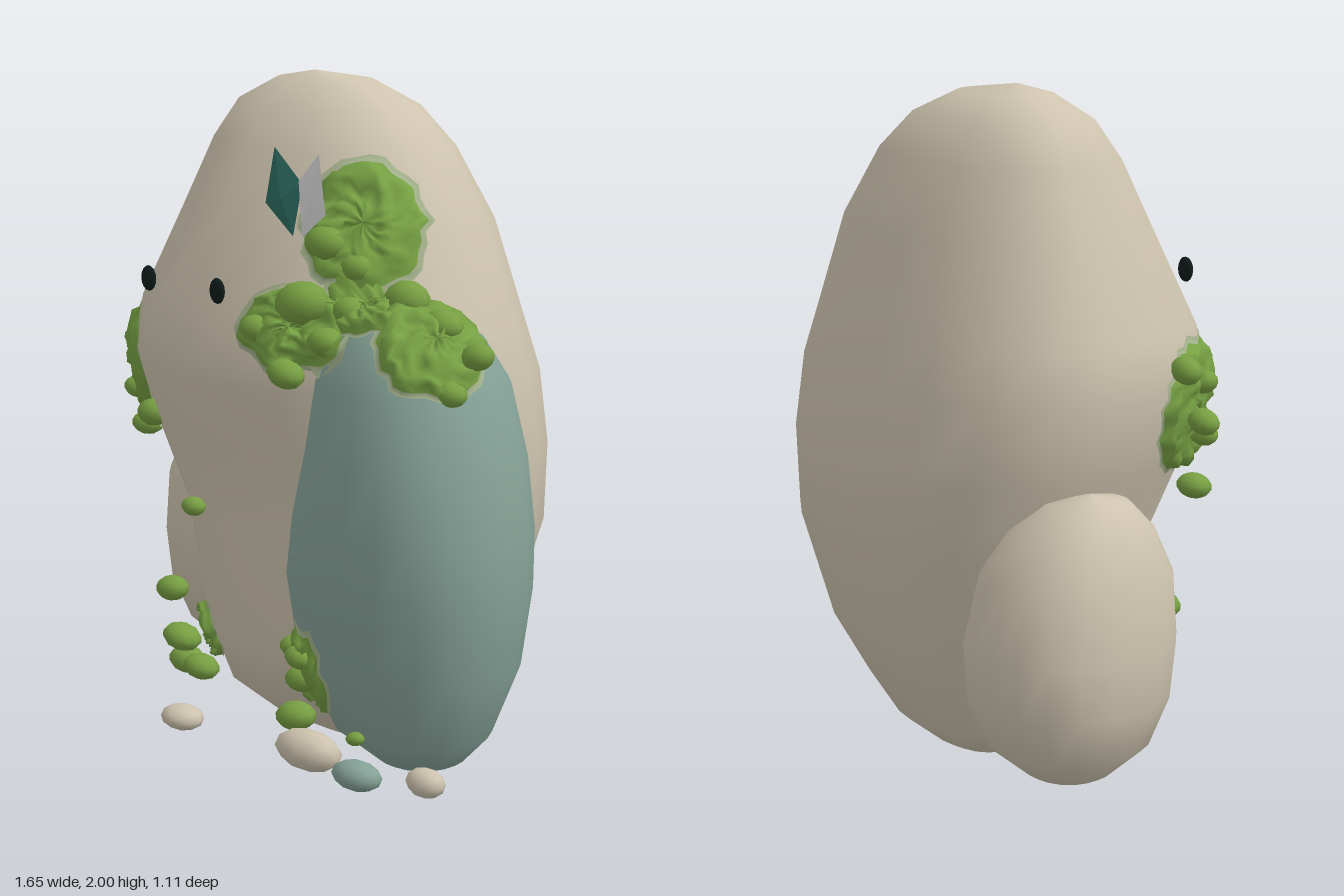
import * as THREE from 'three';

const mat = (name, color, side = THREE.FrontSide) => {
  const m = new THREE.MeshStandardMaterial({ color, side });
  m.name = name;
  return m;
};

// Small seeded random generator
let seed = 7;
const rand = () => {
  seed = (seed * 16807) % 2147483647;
  return seed / 2147483647;
};

// Boulder from horizontal sections: [y, xLeft, xRight, zBack, zFront]; higher powers are squarer
function boulder(sections, powerRight, powerLeft = powerRight, sides = 20) {
  const pos = [], idx = [];
  for (const [y, x0, x1, z0, z1] of sections) {
    for (let j = 0; j < sides; j++) {
      const a = (j / sides) * Math.PI * 2, c = Math.cos(a), s = Math.sin(a);
      const p = c < 0 ? powerLeft : powerRight;
      const k = Math.pow(Math.abs(c) ** p + Math.abs(s) ** p, -1 / p);
      pos.push((x0 + x1) / 2 + (x1 - x0) / 2 * c * k, y, (z0 + z1) / 2 + (z1 - z0) / 2 * s * k);
    }
  }
  for (let i = 0; i < sections.length - 1; i++) {
    for (let j = 0; j < sides; j++) {
      const a = i * sides + j, b = i * sides + (j + 1) % sides;
      idx.push(a, a + sides, b, b, a + sides, b + sides);
    }
  }
  const g = new THREE.BufferGeometry();
  g.setAttribute('position', new THREE.Float32BufferAttribute(pos, 3));
  g.setIndex(idx);
  g.computeVertexNormals();
  return g;
}

// Crumpled moss disc laid over the rocks by rays aimed at an inner point
function mossPatch(rocks, inner, target, a, b) {
  const o = new THREE.Vector3(...inner), t = new THREE.Vector3(...target);
  const n = t.clone().sub(o).normalize();
  const u = new THREE.Vector3(0, 1, 0).cross(n).normalize();
  const v = n.clone().cross(u);
  const rings = 9, sides = 32, pos = [], idx = [];
  const ray = new THREE.Raycaster();
  const wobble = Array.from({ length: sides }, () => 0.88 + rand() * 0.2);
  for (let i = 0; i <= rings; i++) {
    for (let j = 0; j < sides; j++) {
      const ang = (j / sides) * Math.PI * 2, r = (i / rings) * wobble[j];
      const d = t.clone().addScaledVector(u, a * r * Math.cos(ang))
        .addScaledVector(v, b * r * Math.sin(ang)).sub(o).normalize();
      ray.set(o.clone().addScaledVector(d, 3), d.clone().negate());
      const hit = ray.intersectObjects(rocks, false)[0];
      const lift = i === 0 ? 0.03 : i >= rings - 1 ? 0.006 : 0.012 + rand() * 0.035;
      const p = (hit ? hit.point : t.clone()).addScaledVector(d, lift);
      pos.push(p.x, p.y, p.z);
    }
  }
  for (let i = 0; i < rings; i++) {
    for (let j = 0; j < sides; j++) {
      const p = i * sides + j, q = i * sides + (j + 1) % sides;
      idx.push(p, p + sides, q + sides, p, q + sides, q);
    }
  }
  const g = new THREE.BufferGeometry();
  g.setAttribute('position', new THREE.Float32BufferAttribute(pos, 3));
  g.setIndex(idx);
  g.addGroup(0, (rings - 1) * sides * 6, 0);
  g.addGroup((rings - 1) * sides * 6, sides * 6, 1);
  g.computeVertexNormals();
  return g;
}

// Folded leaf: base, right edge, tip, left edge, raised middle
function leaf(points) {
  const g = new THREE.BufferGeometry();
  g.setAttribute('position', new THREE.Float32BufferAttribute(points.flat(), 3));
  g.setIndex([0, 1, 4, 1, 2, 4, 2, 3, 4, 3, 0, 4]);
  const flat = g.toNonIndexed();
  flat.computeVertexNormals();
  return flat;
}

export function createModel() {
  const model = new THREE.Group();
  const stone = mat('beige stone', 0xcdc3ae), teal = mat('teal stone', 0x85a297);
  const moss = mat('moss', 0x76a043, THREE.DoubleSide);
  const rim = mat('pale moss edge', 0xa3b18c, THREE.DoubleSide);
  const tuft = mat('moss tuft', 0x779f42), eyeMat = mat('eye black', 0x101c1a);
  const darkLeaf = mat('dark teal leaf', 0x2f7065, THREE.DoubleSide);
  const whiteLeaf = mat('white leaf', 0xe2e2e4, THREE.DoubleSide);
  const add = (name, geometry, material) => {
    const m = new THREE.Mesh(geometry, material);
    m.name = name;
    model.add(m);
    return m;
  };

  // Boulders
  const body = add('bodyBoulder', boulder([
    [0, 0.02, 0.02, -0.08, -0.08], [0.03, -0.13, 0.15, -0.19, 0],
    [0.1, -0.23, 0.29, -0.27, 0.13], [0.22, -0.31, 0.41, -0.33, 0.28],
    [0.4, -0.37, 0.51, -0.42, 0.35], [0.72, -0.49, 0.59, -0.51, 0.33],
    [0.95, -0.6, 0.6, -0.53, 0.36], [1.17, -0.65, 0.59, -0.51, 0.41],
    [1.33, -0.62, 0.535, -0.48, 0.39], [1.6, -0.52, 0.43, -0.42, 0.27],
    [1.8, -0.45, 0.3, -0.35, 0.17], [1.91, -0.39, 0.18, -0.29, 0.09],
    [1.975, -0.27, 0.04, -0.2, 0.01], [2, -0.14, -0.14, -0.07, -0.07],
  ], 2.35, 2.8), stone);
  const side = add('sideBoulder', boulder([
    [0.1, -0.56, -0.56, -0.26, -0.26], [0.13, -0.67, -0.44, -0.38, -0.15],
    [0.22, -0.77, -0.35, -0.49, -0.05], [0.36, -0.82, -0.3, -0.55, 0.01],
    [0.52, -0.83, -0.29, -0.56, 0.03], [0.7, -0.81, -0.32, -0.52, 0.02],
    [0.83, -0.76, -0.39, -0.44, -0.04], [0.91, -0.7, -0.49, -0.35, -0.12],
    [0.935, -0.61, -0.61, -0.24, -0.24],
  ], 2.35), stone);
  const arm = add('tealBoulder', boulder([
    [0.12, 0.52, 0.52, 0.18, 0.18], [0.135, 0.4, 0.63, 0.07, 0.31],
    [0.22, 0.26, 0.71, 0, 0.39], [0.42, 0.15, 0.79, -0.07, 0.46],
    [0.65, 0.12, 0.82, -0.1, 0.49], [0.82, 0.15, 0.815, -0.11, 0.5],
    [1.02, 0.2, 0.785, -0.1, 0.49], [1.22, 0.22, 0.73, -0.07, 0.45],
    [1.34, 0.28, 0.66, 0, 0.4], [1.41, 0.36, 0.57, 0.1, 0.32],
    [1.43, 0.46, 0.46, 0.21, 0.21],
  ], 2.2, 2.6), teal);
  const rocks = [body, side, arm];

  // Moss patches: name, inner point, target, half width, half height
  const patches = [
    ['headMoss', [0.08, 1.42, -0.12], [0.25, 1.6, 0.14], 0.18, 0.18],
    ['browMoss', [0.15, 1.32, 0], [0.18, 1.36, 0.38], 0.2, 0.14],
    ['bridgeMoss', [0.4, 1.15, 0.12], [0.39, 1.41, 0.28], 0.15, 0.1],
    ['tealTopMoss', [0.46, 1.12, 0.2], [0.62, 1.36, 0.28], 0.21, 0.2],
    ['shoulderMoss', [-0.4, 1.1, -0.05], [-0.6, 1.1, 0.15], 0.18, 0.22],
    ['lowerRightMoss', [-0.2, 0.35, 0.05], [-0.28, 0.35, 0.33], 0.11, 0.14],
    ['lowerLeftMoss', [0.18, 0.34, 0.1], [0.23, 0.34, 0.36], 0.09, 0.15],
  ];
  for (const [name, o, t, a, b] of patches) add(name, mossPatch(rocks, o, t, a, b), [moss, rim]);

  // Round moss tufts resting on the front surfaces: [x, y, radius, least z]
  const tufts = [
    [-0.71, 1.1, 0.05, 0.1], [-0.5, 0.98, 0.055, 0.25], [-0.65, 0.9, 0.055, 0.13],
    [-0.66, 1.24, 0.05, 0.08], [-0.61, 1.18, 0.05, 0.2], [-0.62, 1.03, 0.045, 0.2],
    [-0.235, 0.76, 0.04, 0.35], [-0.4, 0.46, 0.055, 0.28], [-0.31, 0.34, 0.065, 0.33],
    [-0.22, 0.27, 0.06, 0.34], [-0.3, 0.27, 0.06, 0.32], [0.18, 0.22, 0.065, 0.36],
    [0.23, 0.35, 0.06, 0.38], [0.28, 0.44, 0.05, 0.4], [0.2, 0.44, 0.045, 0.38],
    [0.45, 0.23, 0.03, 0.4], [0.19, 1.42, 0.085, 0.34], [0.18, 1.23, 0.06, 0.38],
    [0.06, 1.34, 0.05, 0.36], [0.3, 1.33, 0.06, 0.36], [0.34, 1.41, 0.06, 0.3],
    [0.47, 1.45, 0.07, 0.22], [0.6, 1.4, 0.06, 0.22], [0.72, 1.33, 0.05, 0.22],
    [0.7, 1.24, 0.05, 0.25], [0.2, 1.58, 0.065, 0.24], [0.3, 1.52, 0.05, 0.22],
  ];
  const ray = new THREE.Raycaster();
  for (const [x, y, r, z] of tufts) {
    ray.set(new THREE.Vector3(x, y, 3), new THREE.Vector3(0, 0, -1));
    const hit = ray.intersectObjects(rocks, false)[0];
    const m = add('mossTuft', new THREE.SphereGeometry(1, 10, 7), tuft);
    m.position.set(x, y, hit ? Math.max(hit.point.z + 0.015, z) : z);
    m.scale.set(r, r * (0.6 + rand() * 0.2), r * 0.8);
    m.rotation.z = (rand() - 0.5) * 0.5;
  }

  // Eyes
  for (const x of [-0.335, -0.06]) {
    const e = add('eye', new THREE.SphereGeometry(1, 10, 8), eyeMat);
    e.position.set(x, 1.433, 0.42);
    e.scale.set(0.029, 0.037, 0.012);
  }

  // Leaves
  add('darkLeaf', leaf([[0.18, 1.61, 0.365], [0.22, 1.76, 0.37], [0.155, 1.86, 0.41],
    [0.11, 1.7, 0.4], [0.165, 1.72, 0.4]]), darkLeaf);
  add('whiteLeaf', leaf([[0.21, 1.61, 0.36], [0.365, 1.7, 0.435], [0.355, 1.865, 0.45],
    [0.22, 1.77, 0.385], [0.285, 1.74, 0.415]]), whiteLeaf);

  // Pebbles: [x, y, z, rx, ry, rz, material]
  const pebbles = [
    [-0.15, 0.17, 0.49, 0.07, 0.037, 0.056, stone], [0.34, 0.19, 0.48, 0.115, 0.058, 0.064, stone],
    [0.54, 0.172, 0.5, 0.082, 0.042, 0.053, teal], [0.72, 0.175, 0.42, 0.062, 0.042, 0.044, stone],
  ];
  for (const [x, y, z, rx, ry, rz, m] of pebbles) {
    const p = add('pebble', new THREE.IcosahedronGeometry(1, 1), m);
    p.position.set(x, y, z);
    p.scale.set(rx, ry, rz);
  }
  return model;
}
